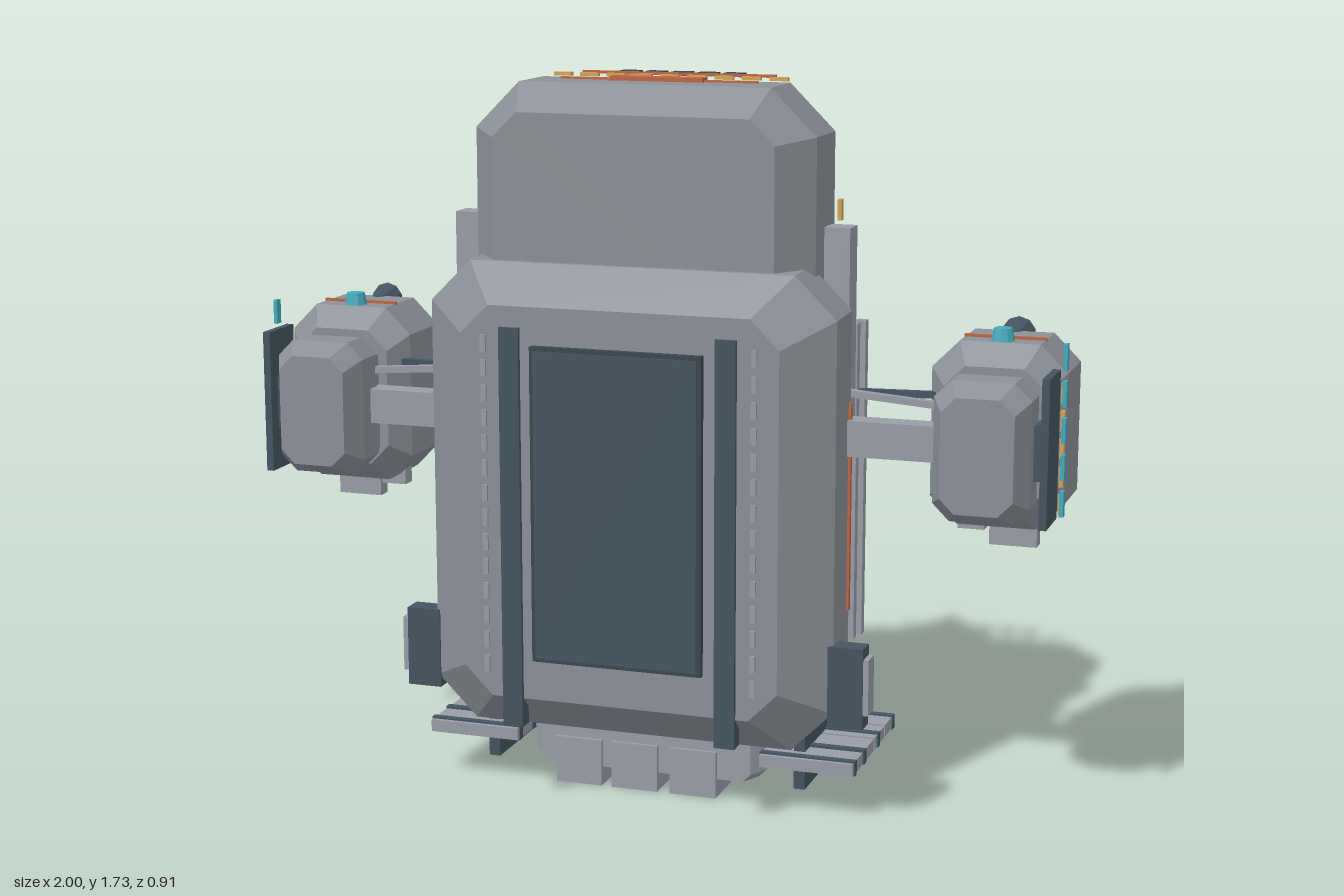
import * as THREE from 'three';

const mat = (name, color) => Object.assign(new THREE.MeshStandardMaterial({ color }), { name });
const M = {
  hull: mat('hull grey', 0x8b9097),
  trim: mat('light grey', 0x989ca5),
  dark: mat('dark slate', 0x44545f),
  glass: mat('window slate', 0x3a474d),
  amber: mat('amber', 0xd2a557),
  rust: mat('rust orange', 0xbd6541),
  teal: mat('teal', 0x44aabd),
};

// Chamfered solid: eight-sided sections [z, halfWidth, halfHeight, centreY, cornerCut], front to back
function loft(sections, cx = 0) {
  const rings = sections.map(([z, w, h, cy, c]) =>
    [[w, c - h], [w, h - c], [w - c, h], [c - w, h], [-w, h - c], [-w, c - h], [c - w, -h], [w - c, -h]]
      .map(([x, y]) => [cx + x, cy + y, z]));
  const pos = [];
  const tri = (a, b, c) => pos.push(...a, ...b, ...c);
  for (let k = 0; k + 1 < rings.length; k++) {
    const a = rings[k], b = rings[k + 1];
    for (let i = 0; i < 8; i++) {
      const j = (i + 1) % 8;
      tri(a[i], b[i], a[j]);
      tri(a[j], b[i], b[j]);
    }
  }
  const f = rings[0], e = rings[rings.length - 1];
  for (let i = 1; i < 7; i++) {
    tri(f[0], f[i], f[i + 1]);
    tri(e[0], e[i + 1], e[i]);
  }
  const g = new THREE.BufferGeometry();
  g.setAttribute('position', new THREE.Float32BufferAttribute(pos, 3));
  g.computeVertexNormals();
  return g;
}

function faceted(geo) {
  const g = geo.toNonIndexed();
  g.computeVertexNormals();
  return g;
}

export function createModel() {
  const root = new THREE.Group();
  root.name = 'spacecraft';
  const add = (name, geo, m, x = 0, y = 0, z = 0) => {
    const mesh = new THREE.Mesh(geo, m);
    mesh.name = name;
    mesh.position.set(x, y, z);
    root.add(mesh);
    return mesh;
  };
  // Box from its lower and upper limits on each axis
  const box = (name, m, x0, x1, y0, y1, z0, z1) =>
    add(name, new THREE.BoxGeometry(Math.abs(x1 - x0), y1 - y0, z1 - z0), m,
      (x0 + x1) / 2, (y0 + y1) / 2, (z0 + z1) / 2);
  const beam = (name, m, a, b, w, h) => {
    const p = new THREE.Vector3(...a), q = new THREE.Vector3(...b);
    const mesh = add(name, new THREE.BoxGeometry(w, h, p.distanceTo(q)), m);
    mesh.position.copy(p).add(q).multiplyScalar(0.5);
    mesh.lookAt(q);
  };

  // Main hull and upper block
  add('mainHull', loft([
    [0.43, 0.39, 0.475, 0.745, 0.07], [0.34, 0.5, 0.565, 0.745, 0.1],
    [0.21, 0.5, 0.565, 0.75, 0.1], [0.055, 0.4, 0.4, 0.8, 0.1]]), M.hull);
  add('upperBlock', loft([
    [0.327, 0.345, 0.29, 1.37, 0.06], [0.24, 0.42, 0.355, 1.37, 0.11],
    [0.08, 0.42, 0.355, 1.37, 0.11], [-0.01, 0.36, 0.3, 1.37, 0.09]]), M.hull);
  add('rearCollar', loft([
    [0, 0.31, 0.26, 1.34, 0.08], [-0.02, 0.31, 0.26, 1.34, 0.08], [-0.06, 0.28, 0.22, 1.335, 0.08]]), M.hull);

  // Tapered rear nose
  add('nose', loft([
    [-0.055, 0.24, 0.185, 1.325, 0.06], [-0.38, 0.04, 0.047, 1.323, 0.014], [-0.44, 0.014, 0.016, 1.323, 0.005]]), M.hull);
  add('noseTip', new THREE.BoxGeometry(0.018, 0.018, 0.025), M.teal, 0, 1.323, -0.445);
  box('noseSensor', M.dark, -0.015, 0.015, 1.18, 1.235, -0.34, -0.32);
  box('sensorStem', M.dark, -0.004, 0.004, 1.23, 1.27, -0.334, -0.326);
  for (let i = 0; i < 5; i++) {
    const x = (i - 2) * 0.04;
    box('noseLight', M.amber, x - 0.013, x + 0.013, 1.445, 1.457, -0.203, -0.193);
  }
  for (let i = 0; i < 7; i++) {
    const x = (i - 3) * 0.055;
    box('noseLouvre', M.trim, x - 0.015, x + 0.015, 1.12, 1.2, -0.1, -0.05);
  }
  box('rearMast', M.trim, -0.018, 0.018, 0.8, 1.15, -0.05, -0.01);
  box('mastFoot', M.trim, -0.015, 0.015, 0.8, 0.84, -0.02, 0.06);

  // Front panel
  box('frontPanelFrame', M.glass, -0.21, 0.21, 0.37, 1.13, 0.42, 0.448);
  box('frontPanel', M.dark, -0.2, 0.2, 0.38, 1.12, 0.44, 0.453);

  // Roof markings
  box('roofPanel', M.rust, -0.115, 0.115, 1.722, 1.735, 0.11, 0.15);
  box('roofLine', M.rust, -0.245, 0.245, 1.722, 1.73, 0.126, 0.134);
  box('roofBar', M.rust, -0.245, 0.245, 1.727, 1.734, -0.026, -0.016);
  for (let i = 0; i < 9; i++) {
    const x = (i - 4) * 0.068;
    box('roofDash', M.amber, x - 0.023, x + 0.023, 1.725, 1.734, 0.038, 0.05);
  }
  for (let i = 0; i < 5; i++) {
    const x = (i - 2) * 0.066;
    box('roofVent', M.glass, x - 0.024, x + 0.024, 1.725, 1.734, -0.07, -0.035);
  }

  // Rear windows
  for (let i = 0; i < 8; i++) {
    const x = (i - 3.5) * 0.08;
    box('rearSmallWindow', M.glass, x - 0.027, x + 0.027, 0.73, 0.775, 0.035, 0.06);
  }
  for (let i = 0; i < 4; i++) {
    const x = (i - 1.5) * 0.15;
    box('rearWindowFrame', M.trim, x - 0.056, x + 0.056, 0.485, 0.615, -0.015, 0.06);
    box('rearWindow', M.glass, x - 0.04, x + 0.04, 0.505, 0.595, -0.021, -0.014);
  }

  // Belly and front feet
  add('belly', loft([
    [0.24, 0.27, 0.065, 0.115, 0.02], [0.2, 0.3, 0.07, 0.125, 0.02], [0.0, 0.28, 0.06, 0.15, 0.02]]), M.trim);
  for (const x of [-0.168, -0.024, 0.126])
    box('frontFoot', M.trim, x - 0.059, x + 0.059, 0.004, 0.12, 0.11, 0.25);

  // Rear landing legs with dish feet
  const dish = faceted(new THREE.LatheGeometry([
    [0, -0.045], [0.04, -0.042], [0.1, 0], [0.035, 0.06], [0, 0.06]].map(p => new THREE.Vector2(...p)), 14));
  for (const [x, y] of [[-0.23, 0.14], [0, 0.078], [0.23, 0.14]]) {
    add('landingDish', dish, M.hull, x, y, -0.155);
    add('dishHub', faceted(new THREE.CylinderGeometry(0.022, 0.022, 0.02, 8)), M.dark, x, y + 0.064, -0.155);
    beam('landingLeg', M.trim, [x * 0.8, y + 0.07, 0.1], [x, y + 0.045, -0.14], 0.1, 0.06);
  }

  // Everything paired left and right
  for (const s of [-1, 1]) {
    box('frontStrip', M.dark, s * 0.24, s * 0.29, 0.2, 1.17, 0.4, 0.44);
    for (let i = 0; i < 14; i++)
      box('frontTick', M.trim, s * 0.325, s * 0.338, 0.33 + i * 0.06, 0.37 + i * 0.06, 0.425, 0.436);

    // Flank rails and boxes
    box('sidePylon', M.trim, s * 0.43, s * 0.492, 0.95, 1.405, 0.14, 0.205);
    for (let i = 0; i < 3; i++)
      box('sideRail', M.trim, s * 0.41, s * (0.5 - i * 0.008), 0.4, 1.17, 0.055 + i * 0.045, 0.08 + i * 0.045);
    box('sideStripe', M.rust, s * 0.497, s * 0.506, 0.5, 1.0, 0.215, 0.228);
    box('sideBox', M.dark, s * 0.49, s * 0.575, 0.25, 0.445, 0.297, 0.352);
    box('sideBoxCap', M.trim, s * 0.57, s * 0.588, 0.285, 0.42, 0.3, 0.35);
    for (let i = 0; i < 4; i++)
      box('sideDash', M.amber, s * 0.425, s * 0.435, 1.17 + i * 0.078, 1.22 + i * 0.078, 0.055, 0.072);
    box('noseSideLight', M.amber, s * 0.085, s * 0.11, 1.318, 1.33, -0.315, -0.295);
    for (const y of [0.5, 0.7, 0.9])
      box('rearRivet', M.dark, s * 0.355, s * 0.367, y, y + 0.012, 0.045, 0.06);

    // Lower fins and slatted platforms
    box('lowerFin', M.dark, s * 0.38, s * 0.408, 0.05, 0.245, -0.17, 0.245);
    for (let i = 0; i < 4; i++)
      box('platformSlat', M.trim, s * 0.31, s * 0.54, 0.115, 0.145, -0.11 + i * 0.105, -0.015 + i * 0.105);
    for (const z of [-0.09, 0.055, 0.19, 0.28])
      box('platformRib', M.dark, s * 0.308, s * 0.543, 0.113, 0.149, z - 0.009, z + 0.009);
    box('legPost', M.trim, s * 0.145, s * 0.235, 0.2, 0.39, 0.0, 0.06);
    beam('legStrut', M.dark, [s * 0.32, 0.38, 0.13], [s * 0.36, 0.2, 0.09], 0.025, 0.025);

    // Outrigger arm
    box('arm', M.trim, s * 0.46, s * 0.74, 0.875, 0.96, 0.18, 0.24);
    beam('armRod', M.dark, [s * 0.46, 1.0, 0.09], [s * 0.7, 1.01, 0.115], 0.016, 0.016);
    beam('armBrace', M.trim, [s * 0.48, 1.02, 0.2], [s * 0.74, 1.0, 0.2], 0.02, 0.016);

    // Side pod
    const px = s * 0.827;
    add('rearPod', loft([
      [0.155, 0.12, 0.17, 0.92, 0.05], [0.1, 0.16, 0.22, 0.92, 0.065],
      [-0.07, 0.16, 0.22, 0.92, 0.065], [-0.14, 0.11, 0.165, 0.92, 0.05]], px), M.hull);
    add('frontPod', loft([
      [0.337, 0.085, 0.135, 0.915, 0.035], [0.28, 0.113, 0.165, 0.915, 0.04],
      [0.2, 0.113, 0.165, 0.915, 0.04], [0.15, 0.095, 0.15, 0.915, 0.04]], px), M.hull);
    box('podPlate', M.dark, s * 0.962, s * 0.98, 0.745, 1.095, 0.155, 0.285);
    box('podPlateMount', M.dark, s * 0.9, s * 0.965, 0.85, 0.98, 0.19, 0.25);
    for (let i = 0; i < 5; i++) {
      box('podTealLight', M.teal, s * 0.99, s, 0.755 + i * 0.086, 0.815 + i * 0.086, 0.165, 0.185);
      if (i < 5) box('podAmberLight', M.amber, s * 0.98, s * 0.99, 0.75 + i * 0.066, 0.798 + i * 0.066, 0.127, 0.145);
    }
    box('podRoofStripe', M.rust, s * 0.73, s * 0.925, 1.137, 1.146, 0.035, 0.045);
    add('podBeacon', faceted(new THREE.CylinderGeometry(0.022, 0.03, 0.04, 10)), M.teal, px, 1.15, 0.07);
    const horn = add('podHorn', faceted(new THREE.CylinderGeometry(0.018, 0.042, 0.07, 10)), M.dark, px, 1.125, -0.085);
    horn.rotation.x = Math.PI / 2;
    box('podHornTip', M.teal, px - 0.016, px + 0.016, 1.09, 1.135, -0.15, -0.12);
    box('podKeel', M.trim, s * 0.795, s * 0.91, 0.635, 0.72, -0.022, 0.018);
    box('podKeelSmall', M.trim, s * 0.72, s * 0.785, 0.672, 0.74, -0.01, 0.03);
  }

  // Small amber panels beside one arm
  for (const x of [-0.51, -0.64])
    box('amberPanel', M.amber, x - 0.025, x + 0.025, 0.845, 0.92, 0.008, 0.016);

  return root;
}
